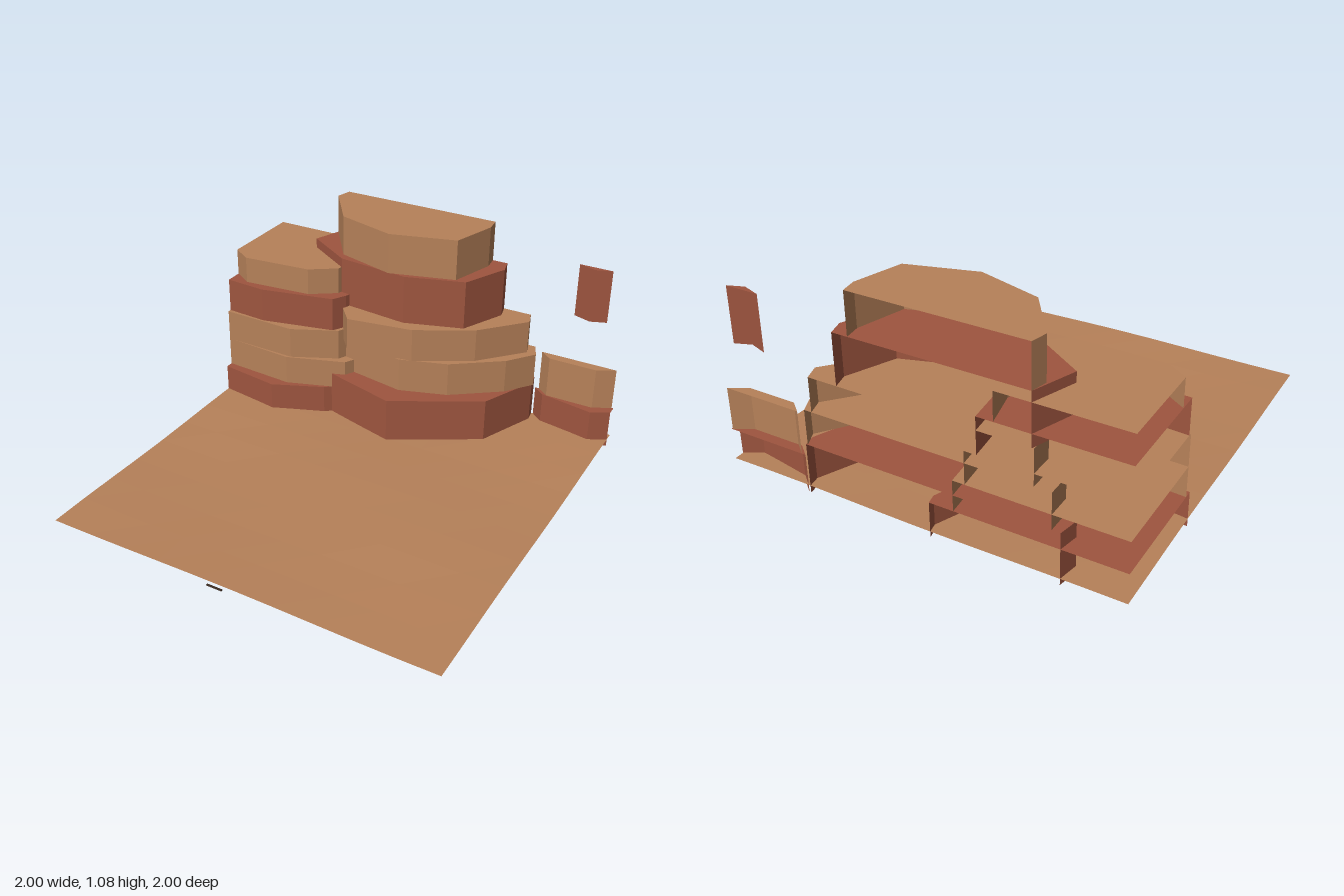
import * as THREE from 'three';
import { mergeGeometries } from 'three/addons/utils/BufferGeometryUtils.js';

const material = (name, color) =>
  new THREE.MeshStandardMaterial({ name, color, flatShading: true, side: THREE.DoubleSide });
const sand = material('sandstone tan', 0xb68159);
const red = material('rust red rock', 0x9e553f);
const dark = material('dark timber', 0x3a2a20);

// One rock layer: a wall along the rim (left to right) and a flat cap, open at the back
function layerGeometry(y0, y1, rim, corner) {
  const pos = [];
  for (let i = 0; i < rim.length - 1; i++) {
    const [ax, az] = rim[i], [bx, bz] = rim[i + 1];
    pos.push(ax, y0, az, bx, y0, bz, bx, y1, bz, ax, y0, az, bx, y1, bz, ax, y1, az);
  }
  const wall = new THREE.BufferGeometry();
  wall.setAttribute('position', new THREE.Float32BufferAttribute(pos, 3));
  wall.computeVertexNormals();
  const outline = corner ? [...rim, corner] : rim;
  const cap = new THREE.ShapeGeometry(new THREE.Shape(outline.map(([x, z]) => new THREE.Vector2(x, -z))))
    .rotateX(-Math.PI / 2).translate(0, y1, 0).toNonIndexed();
  cap.deleteAttribute('uv');
  return mergeGeometries([wall, cap]);
}

function mesa(name, layers, corner) {
  const group = new THREE.Group();
  group.name = name;
  layers.forEach(([mat, y0, y1, rim], i) => {
    const mesh = new THREE.Mesh(layerGeometry(y0, y1, rim, corner), mat);
    mesh.name = `${name}Layer${i + 1}`;
    group.add(mesh);
  });
  return group;
}

export function createModel() {
  const model = new THREE.Group();
  model.name = 'desertMesas';

  // Gently rolling ground sheet
  const groundGeo = new THREE.PlaneGeometry(2, 2, 10, 10).rotateX(-Math.PI / 2);
  const p = groundGeo.attributes.position;
  for (let i = 0; i < p.count; i++) {
    const x = p.getX(i), z = p.getZ(i);
    p.setY(i, 0.032 + 0.004 * Math.sin(4 * x + 1.5 * z) + 0.004 * Math.cos(5 * z - 2 * x));
  }
  groundGeo.computeVertexNormals();
  const ground = new THREE.Mesh(groundGeo, sand);
  ground.name = 'ground';
  model.add(ground);

  // Tall mesa in the middle
  model.add(mesa('centralMesa', [
    [red, 0, 0.26, [[-0.7, -1], [-0.72, -0.9], [-0.47, -0.52], [0, -0.39], [0.44, -0.64], [0.57, -0.94], [0.56, -1]]],
    [sand, 0.26, 0.44, [[-0.66, -1], [-0.66, -0.88], [-0.4, -0.59], [0, -0.52], [0.24, -0.6], [0.48, -0.78], [0.585, -0.92], [0.55, -1]]],
    [sand, 0.44, 0.615, [[-0.58, -1], [-0.58, -0.88], [-0.39, -0.61], [-0.285, -0.485], [0.06, -0.54], [0.34, -0.7], [0.535, -0.92], [0.51, -1]]],
    [red, 0.615, 0.87, [[-0.57, -1], [-0.65, -0.79], [-0.4, -0.63], [-0.02, -0.59], [0.275, -0.685], [0.38, -0.92], [0.36, -1]]],
    [sand, 0.87, 1.08, [[-0.57, -1], [-0.59, -0.92], [-0.42, -0.68], [-0.11, -0.59], [0.22, -0.685], [0.29, -0.92], [0.28, -1]]],
  ]));

  // Lower mesa cut off by the corner
  model.add(mesa('cornerMesa', [
    [red, 0, 0.18, [[-1, -0.4], [-0.68, -0.355], [-0.42, -0.47], [-0.18, -0.68], [-0.07, -0.95], [-0.08, -1]]],
    [sand, 0.18, 0.335, [[-1, -0.44], [-0.62, -0.415], [-0.32, -0.52], [-0.18, -0.78], [-0.2, -1]]],
    [sand, 0.335, 0.5, [[-1, -0.44], [-0.6, -0.43], [-0.37, -0.54], [-0.24, -0.8], [-0.26, -1]]],
    [red, 0.5, 0.68, [[-1, -0.46], [-0.78, -0.445], [-0.4, -0.53], [-0.36, -0.6], [-0.3, -0.8], [-0.32, -1]]],
    [sand, 0.68, 0.82, [[-1, -0.55], [-0.9, -0.485], [-0.54, -0.52], [-0.41, -0.61], [-0.36, -0.82], [-0.4, -1]]],
  ], [-1, -1]));

  // Sliver of a third mesa along the back edge
  model.add(mesa('edgeMesa', [
    [red, 0, 0.2, [[0.57, -1], [0.63, -0.95], [0.91, -0.9], [1, -0.95]]],
    [sand, 0.2, 0.42, [[0.59, -1], [0.65, -0.95], [0.9, -0.95], [0.99, -1]]],
  ], [1, -1]));
  model.add(mesa('edgeMesaCrag', [
    [red, 0.67, 0.95, [[0.74, -1], [0.83, -0.97], [0.91, -1]]],
  ]));

  // Row of small ties just under the front edge
  for (let i = 0; i < 7; i++) {
    const tie = new THREE.Mesh(new THREE.BoxGeometry(0.08, 0.004, 0.01), dark);
    tie.name = `tie${i + 1}`;
    tie.position.set(-0.1, 0.002, 0.99 - i * 0.052);
    model.add(tie);
  }
  return model;
}
